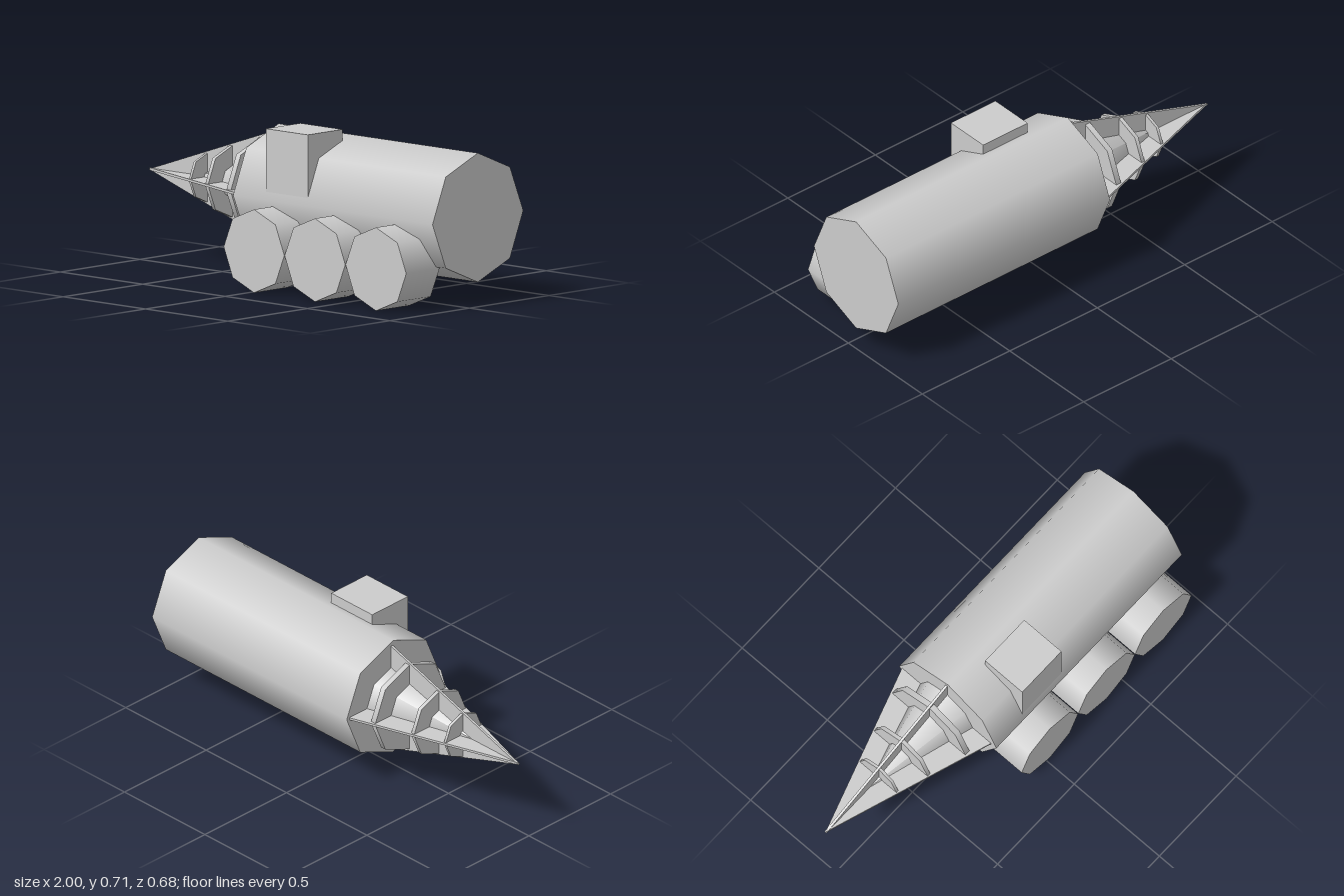
import * as THREE from 'three';

export function createModel() {
  const model = new THREE.Group();
  const material = new THREE.MeshStandardMaterial({ color: 0xcccccc });
  const axisY = 0.394;

  function add(name, geometry, x, y, z, parent = model) {
    const mesh = new THREE.Mesh(geometry, material);
    mesh.name = name;
    mesh.position.set(x, y, z);
    parent.add(mesh);
    return mesh;
  }

  // Eight-sided hull lying along x
  add('hull', new THREE.CylinderGeometry(0.285, 0.285, 1.21, 8).rotateZ(Math.PI / 2), 0.395, axisY, -0.053);

  // Cabin block sunk into the upper front of the hull
  add('cabin', new THREE.BoxGeometry(0.255, 0.297, 0.218), 0.102, 0.558, 0.109);

  // Row of wheels along the front
  for (let i = 0; i < 3; i++) {
    const wheel = new THREE.CylinderGeometry(0.184, 0.184, 0.209, 8).rotateX(Math.PI / 2);
    add('wheel' + (i + 1), wheel, 0.02 + i * 0.37, 0.184, 0.2345);
  }

  // Drill, with its axis at the group's origin
  const drill = new THREE.Group();
  drill.name = 'drill';
  drill.position.set(0, axisY - 0.001, -0.061);
  model.add(drill);

  // Inner cone, point towards -x
  add('drillCore', new THREE.ConeGeometry(0.155, 0.53, 8).rotateZ(Math.PI / 2), -0.475, 0, 0, drill);

  // Two crossed triangular blades
  const outline = new THREE.Shape([
    new THREE.Vector2(-1, 0),
    new THREE.Vector2(-0.205, -0.263),
    new THREE.Vector2(-0.205, 0.263),
  ]);
  for (const [name, turn] of [['verticalBlade', 0], ['horizontalBlade', Math.PI / 2]]) {
    const blade = new THREE.ExtrudeGeometry(outline, { depth: 0.011, bevelEnabled: false });
    blade.translate(0, 0, -0.0055).rotateX(turn);
    add(name, blade, 0, 0, 0, drill);
  }

  // Cutting discs, growing towards the hull
  [[-0.65, 0.11, 0.013], [-0.5, 0.16, 0.018], [-0.312, 0.217, 0.027]].forEach(([x, radius, width], i) => {
    const disc = new THREE.CylinderGeometry(radius, radius, width, 8).rotateZ(Math.PI / 2);
    add('cuttingDisc' + (i + 1), disc, x, 0, 0, drill);
  });

  return model;
}
